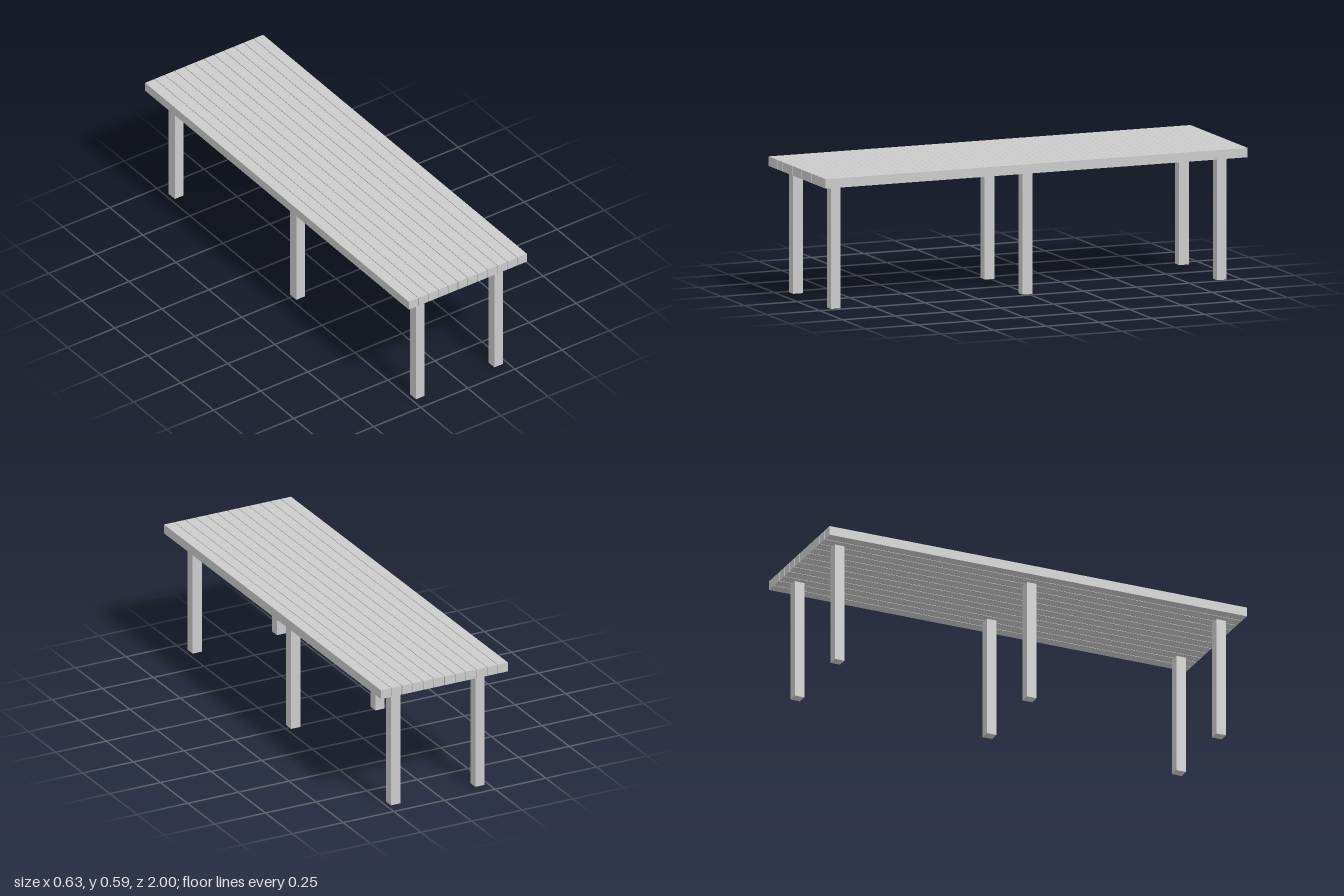
import * as THREE from 'three';

export function createModel() {
  const group = new THREE.Group();
  const material = new THREE.MeshStandardMaterial({ color: 0xcccccc, flatShading: true });

  const addBox = (name, size, position) => {
    const mesh = new THREE.Mesh(new THREE.BoxGeometry(...size), material);
    mesh.name = name;
    mesh.position.set(...position);
    group.add(mesh);
  };

  // Table top: long slats with narrow gaps
  const slatCount = 12, pitch = 0.0525, slatWidth = 0.0495;
  const slatBottom = 0.549, slatTop = 0.591;
  for (let i = 0; i < slatCount; i++) {
    const x = (i - (slatCount - 1) / 2) * pitch;
    addBox(`slat${i + 1}`, [slatWidth, slatTop - slatBottom, 2], [x, (slatTop + slatBottom) / 2, 0]);
  }

  // Three pairs of square legs, let slightly into the slats
  const legHeight = 0.567, legWidth = 0.046;
  const rows = [['front', 0.915], ['middle', 0.007], ['back', -0.914]];
  for (const [row, z] of rows) {
    for (const [side, x] of [['Left', 0.207], ['Right', -0.209]]) {
      addBox(`${row}${side}Leg`, [legWidth, legHeight, legWidth], [x, legHeight / 2, z]);
    }
  }

  return group;
}
